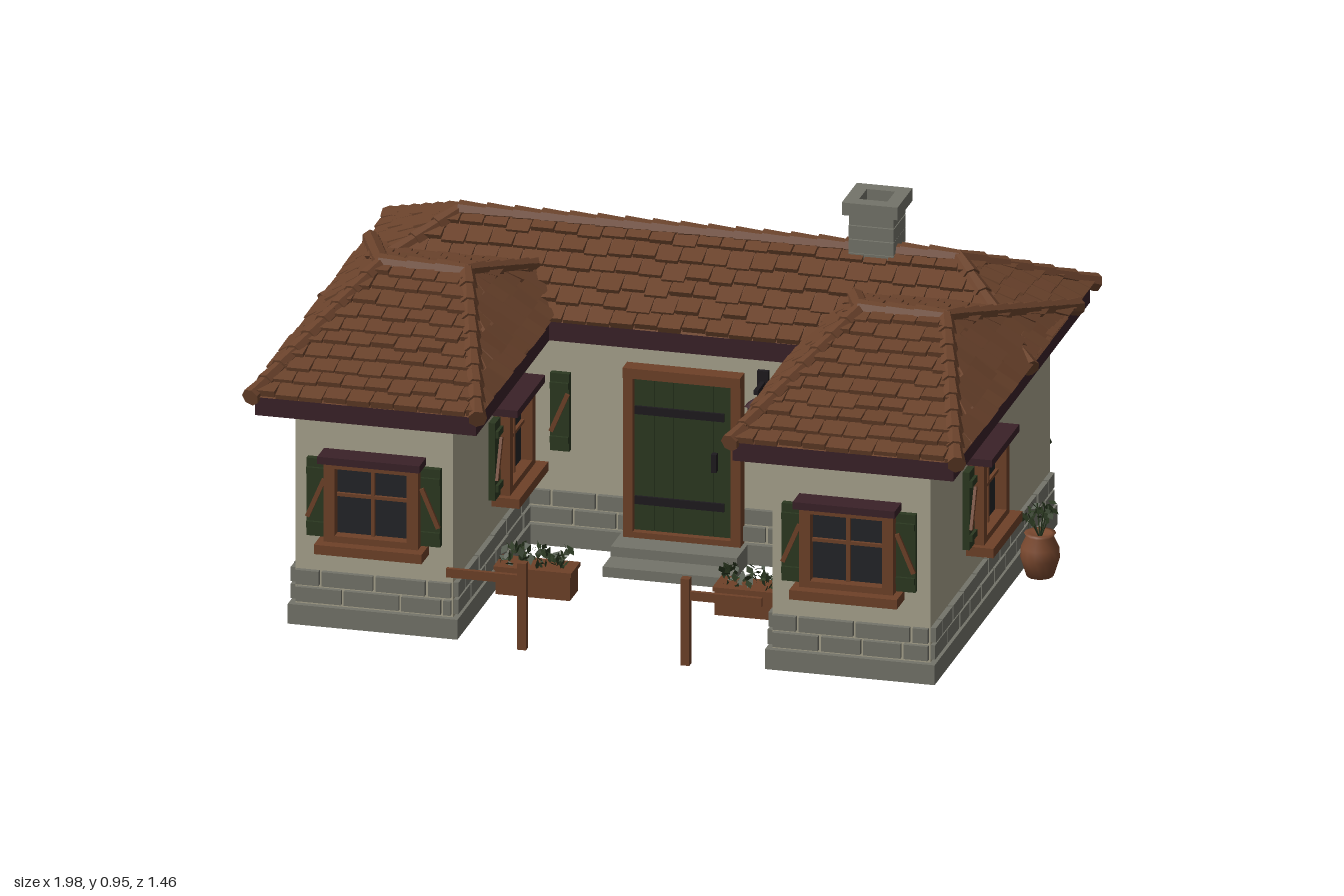
import * as THREE from 'three';
import { mergeGeometries } from 'three/addons/utils/BufferGeometryUtils.js';

const mat = (name, color, extra = {}) => Object.assign(new THREE.MeshStandardMaterial({ color, ...extra }), { name });
const M = {
  wall: mat('plaster', 0xa8a38d), stone: mat('stone', 0x74746a, { flatShading: true }),
  tile: mat('roof tile', 0x6b432c, { flatShading: true, side: THREE.DoubleSide }),
  wood: mat('warm wood', 0x6e4128), dark: mat('dark wood', 0x3a2128),
  green: mat('green paint', 0x2b3820), glass: mat('window glass', 0x232427), iron: mat('iron', 0x1d1a1e),
  leaf: mat('foliage', 0x2c3a22, { side: THREE.DoubleSide, flatShading: true }), clay: mat('clay', 0x7c4a30),
};
const V = (x, y, z) => new THREE.Vector3(x, y, z);
let seed = 7;
const rnd = () => (seed = (seed * 16807) % 2147483647) / 2147483647;

function add(parent, name, geo, m, x = 0, y = 0, z = 0, ry = 0, rz = 0) {
  const mesh = new THREE.Mesh(geo, m);
  mesh.name = name;
  mesh.position.set(x, y, z);
  mesh.rotation.set(0, ry, rz);
  parent.add(mesh);
  return mesh;
}
const box = (p, name, m, w, h, d, x, y, z, ry, rz) => add(p, name, new THREE.BoxGeometry(w, h, d), m, x, y, z, ry, rz);
function group(parent, name, x = 0, y = 0, z = 0, ry = 0) {
  const g = new THREE.Group();
  g.name = name;
  g.position.set(x, y, z);
  g.rotation.y = ry;
  parent.add(g);
  return g;
}

// U-shaped footprint [x, z], grown outwards by o
const outline = o => [[-.855 - o, .63 + o], [-.43 + o, .63 + o], [-.43 + o, -.1 + o], [.43 - o, -.1 + o],
  [.43 - o, .63 + o], [.855 + o, .63 + o], [.855 + o, -.565 - o], [-.855 - o, -.565 - o]];
function uSlab(o, y0, y1) {
  const shape = new THREE.Shape(outline(o).map(([x, z]) => new THREE.Vector2(x, -z)));
  return new THREE.ExtrudeGeometry(shape, { depth: y1 - y0, bevelEnabled: false }).rotateX(-Math.PI / 2).translate(0, y0, 0);
}

// Two staggered courses of stones along every wall
function stoneCourses(parent) {
  const pts = outline(0), geos = [];
  pts.forEach(([x0, z0], i) => {
    const [x1, z1] = pts[(i + 1) % 8], len = Math.hypot(x1 - x0, z1 - z0);
    for (let row = 0; row < 2; row++) {
      let s = 0, first = row ? .07 : .13;
      while (s < len - .02) {
        let w = Math.min(first || .1 + rnd() * .06, len - s);
        first = 0;
        const t = (s + w / 2) / len;
        geos.push(new THREE.BoxGeometry(w - .008, .04, .024 + rnd() * .006).rotateY(-Math.atan2(z1 - z0, x1 - x0))
          .translate(x0 + (x1 - x0) * t, .083 + row * .048, z0 + (z1 - z0) * t));
        s += w;
      }
    }
  });
  add(parent, 'stoneCourses', mergeGeometries(geos), M.stone);
}

// Overlapping tiles on a slope: eave a-b, ridge d-c (counter-clockwise from outside)
function tileSlope(parent, a, b, c, d) {
  const U = b.clone().sub(a), len = U.length();
  U.normalize();
  const ad = d.clone().sub(a), uD = ad.dot(U), uC = c.clone().sub(a).dot(U);
  const up = ad.addScaledVector(U, -uD), n = U.clone().cross(up).normalize();
  const P = (u, t, h) => a.clone().addScaledVector(U, u).addScaledVector(up, t).addScaledVector(n, h);
  const clampU = (u, t) => Math.min(Math.max(u, uD * t), len + (uC - len) * t);
  const rows = Math.max(3, Math.round(up.length() / .06)), pos = [];
  const tri = (...v) => v.forEach(p => pos.push(p.x, p.y, p.z));
  const quad = (p, q, r, s) => { tri(p, q, r); tri(p, r, s); };
  quad(a, b, c, d);
  for (let i = 0; i < rows; i++) {
    for (let u = (i % 2) * -.032; u < len; u += .064) {
      const t0 = Math.max(0, (i + (rnd() - .5) * .3) / rows), t1 = Math.min(1, (i + 1.1) / rows), h = .012 + rnd() * .007;
      const l0 = clampU(u + .002, t0), r0 = clampU(u + .062, t0), l1 = clampU(u + .002, t1), r1 = clampU(u + .062, t1);
      if (r0 - l0 < .004) continue;
      const A = P(l0, t0, h), B = P(r0, t0, h), C = P(r1, t1, .004), D = P(l1, t1, .004);
      const A0 = P(l0, t0, 0), B0 = P(r0, t0, 0);
      quad(A, B, C, D);
      quad(A0, B0, B, A);
      tri(A0, A, D);
      tri(B0, C, B);
    }
  }
  const geo = new THREE.BufferGeometry();
  geo.setAttribute('position', new THREE.Float32BufferAttribute(pos, 3));
  geo.computeVertexNormals();
  add(parent, 'roofSlope', geo, M.tile);
}

// Row of tapered cap tiles along a hip or ridge
function capTiles(parent, p, q) {
  const dir = q.clone().sub(p), n = Math.max(2, Math.round(dir.length() / .075)), step = dir.length() / n, geos = [];
  const turn = new THREE.Quaternion().setFromUnitVectors(V(0, 1, 0), dir.clone().normalize());
  for (let i = 0; i < n; i++) {
    const at = p.clone().lerp(q, (i + .5) / n);
    geos.push(new THREE.CylinderGeometry(.018, .025, step * 1.12, 7).applyQuaternion(turn).translate(at.x, at.y, at.z));
  }
  add(parent, 'capTiles', mergeGeometries(geos), M.tile);
}

// Hipped roof over a rectangle, ridge along x
function hipRoof(parent, name, x0, x1, z0, z1, rx0, rx1, y, top) {
  const g = group(parent, name), rz = (z0 + z1) / 2;
  const fl = V(x0, y, z1), fr = V(x1, y, z1), bl = V(x0, y, z0), br = V(x1, y, z0), rl = V(rx0, top, rz), rr = V(rx1, top, rz);
  tileSlope(g, fl, fr, rr, rl);
  tileSlope(g, br, bl, rl, rr);
  tileSlope(g, bl, fl, rl, rl);
  tileSlope(g, fr, br, rr, rr);
  [[fl, rl], [bl, rl], [fr, rr], [br, rr], [rl, rr]].forEach(e => capTiles(g, ...e));
}

function shutter(parent, x, y, z, side) {
  const g = group(parent, 'shutter', x, y, z);
  box(g, 'shutterBoard', M.green, .052, .215, .018, 0, 0, .01);
  for (const dy of [-.075, .075]) box(g, 'shutterRail', M.green, .05, .018, .01, 0, dy, .022);
  box(g, 'shutterBrace', M.wood, .012, .115, .008, 0, 0, .023, 0, side * .4);
}

// Window facing +z, wall plane at z = 0
function windowUnit(parent, x, z, ry) {
  const g = group(parent, 'window', x, .36, z, ry);
  box(g, 'glass', M.glass, .2, .21, .012, 0, 0, .008);
  for (const s of [-1, 1]) {
    box(g, 'frameSide', M.wood, .03, .23, .045, s * .112, 0, .022);
    shutter(g, s * .154, 0, 0, s);
  }
  box(g, 'frameTop', M.wood, .25, .024, .045, 0, .105, .022);
  box(g, 'frameBottom', M.wood, .25, .024, .045, 0, -.105, .022);
  box(g, 'mullion', M.wood, .01, .2, .016, 0, 0, .016);
  box(g, 'crossbar', M.wood, .2, .009, .014, 0, .015, .016);
  box(g, 'lintel', M.dark, .275, .02, .068, 0, .122, .034);
  box(g, 'sill', M.wood, .29, .026, .075, 0, -.124, .037);
}

function doorUnit(parent, z, ry) {
  const g = group(parent, 'door', 0, 0, z, ry);
  for (let i = 0; i < 5; i++) box(g, 'doorPlank', M.green, .052, .44, .02, (i - 2) * .053, .28, .012);
  for (const s of [-1, 1]) box(g, 'doorPost', M.wood, .026, .47, .045, s * .145, .285, .02);
  box(g, 'doorHead', M.wood, .316, .028, .05, 0, .512, .022);
  box(g, 'threshold', M.wood, .3, .018, .045, 0, .062, .02);
  for (const y of [.155, .405]) box(g, 'hingeStrap', M.iron, .24, .022, .008, -.01, y, .025);
  box(g, 'handle', M.iron, .014, .05, .02, .085, .28, .03);
  // Hanging lantern beside the door
  const l = group(g, 'lantern', .21, 0, 0);
  box(l, 'lanternPlate', M.iron, .03, .08, .012, 0, .5, .006);
  box(l, 'lanternArm', M.iron, .012, .012, .08, 0, .505, .04);
  add(l, 'lanternCap', new THREE.ConeGeometry(.034, .025, 6), M.dark, 0, .478, .07);
  add(l, 'lanternBody', new THREE.CylinderGeometry(.026, .018, .065, 6), M.dark, 0, .433, .07);
}

// Scattered diamond leaves inside a box
function leaves(parent, n, w, h, d, x, y, z, size) {
  const geos = [];
  for (let i = 0; i < n; i++) {
    geos.push(new THREE.CircleGeometry(size * (.7 + rnd() * .6), 4).scale(.6, 1, 1)
      .rotateX(rnd() * 2 - 1).rotateY(rnd() * 6.3).rotateZ(rnd() * 2 - 1)
      .translate((rnd() - .5) * w, rnd() * h, (rnd() - .5) * d));
  }
  add(parent, 'leaves', mergeGeometries(geos), M.leaf, x, y, z);
}
const lathe = pts => new THREE.LatheGeometry(pts.map(p => new THREE.Vector2(...p)), 14);

function pottedPlant(parent, x, z) {
  const g = group(parent, 'pottedPlant', x, .015, z);
  add(g, 'pot', lathe([[0, 0], [.036, 0], [.052, .05], [.05, .08], [.036, .11], [.042, .118], [.03, .118], [0, .108]]), M.clay);
  for (let i = 0; i < 6; i++) {
    const a = i * 1.05, r = .025 + rnd() * .02, tip = V(Math.cos(a) * r, .175 + rnd() * .02, Math.sin(a) * r);
    add(g, 'stem', new THREE.TubeGeometry(new THREE.LineCurve3(V(0, .1, 0), tip), 1, .002, 4), M.leaf);
    leaves(g, 6, .03, .05, .03, tip.x, tip.y - .035, tip.z, .012);
  }
}

export function createModel() {
  const root = new THREE.Group();
  root.name = 'cottage';

  // Walls and footing
  add(root, 'footing', uSlab(.016, 0, .055), M.stone);
  add(root, 'walls', uSlab(0, .055, .61), M.wall);
  stoneCourses(root);
  box(root, 'upperStep', M.stone, .34, .05, .12, 0, .03, -.04);
  box(root, 'lowerStep', M.stone, .34, .028, .2, 0, .014, 0);

  // Roofs
  add(root, 'eaves', uSlab(.085, .598, .65), M.dark);
  hipRoof(root, 'mainRoof', -.95, .95, -.665, -.015, -.67, .67, .65, .812);
  for (const s of [-1, 1]) {
    const xs = [s * .95, s * .34].sort((p, q) => p - q), rs = [s * .76, s * .53].sort((p, q) => p - q);
    hipRoof(root, 'wingRoof', ...xs, -.48, .72, ...rs, .65, .822);
  }

  // Chimney
  const chimney = group(root, 'chimney', .445, 0, -.36);
  for (let i = 0; i < 6; i++)
    for (const s of [-1, 1]) {
      const w = .057 + rnd() * .006, along = i % 2 === 0;
      box(chimney, 'chimneyStone', M.stone, along ? w : .12, .036, along ? .12 : w, along ? s * .03 : 0, .715 + i * .038, along ? 0 : s * .03);
    }
  const sq = (S, r) => { const p = new S(); p.moveTo(-r, -r).lineTo(r, -r).lineTo(r, r).lineTo(-r, r).closePath(); return p; };
  const cap = sq(THREE.Shape, .075);
  cap.holes.push(sq(THREE.Path, .038));
  add(chimney, 'chimneyCap', new THREE.ExtrudeGeometry(cap, { depth: .035, bevelEnabled: false }).rotateX(-Math.PI / 2), M.stone, 0, .918, 0);

  // Windows and doors
  for (const s of [-1, 1]) {
    windowUnit(root, s * .64, .63, 0);
    windowUnit(root, s * .855, .13, s * Math.PI / 2);
    windowUnit(root, s * .43, .1, -s * Math.PI / 2);
    windowUnit(root, s * .49, -.565, Math.PI);
    shutter(root, s * .335, .375, -.1, s);
  }
  doorUnit(root, -.1, 0);
  doorUnit(root, -.565, Math.PI);

  // Yard: gate posts, planters, pots
  for (const s of [-1, 1]) {
    box(root, 'gatePost', M.wood, .024, .24, .024, s * .22, .14, .715);
    box(root, 'gateRail', M.wood, .2, .024, .012, s * .325, .212, .715);
    const planter = group(root, 'planter', s * .295, 0, .295);
    box(planter, 'planterBox', M.wood, .2, .075, .08, 0, .053, 0);
    box(planter, 'planterRim', M.wood, .21, .012, .09, 0, .088, 0);
    leaves(planter, 90, .19, .05, .07, 0, .09, 0, .014);
    pottedPlant(root, s * .935, -.17);
  }

  // Barrel and climbing vine at the back
  const barrel = group(root, 'barrel', .59, .01, -.66);
  add(barrel, 'barrelBody', lathe([[0, 0], [.052, 0], [.062, .05], [.065, .08], [.062, .11], [.052, .16], [.045, .16], [.045, .15], [0, .15]]), M.dark);
  for (const y of [.04, .12]) add(barrel, 'barrelHoop', new THREE.CylinderGeometry(.0635, .0635, .012, 14, 1), M.iron, 0, y, 0);
  const vine = group(root, 'vine', .79, 0, -.58);
  const path = new THREE.CatmullRomCurve3([V(0, .05, 0), V(.02, .2, 0), V(-.02, .35, 0), V(.01, .52, 0)]);
  add(vine, 'vineStem', new THREE.TubeGeometry(path, 16, .004, 5), M.leaf);
  for (let i = 0; i < 12; i++) {
    const p = path.getPoint((i + .5) / 12);
    leaves(vine, 5, .09, .035, .02, p.x, p.y, p.z, .018);
  }
  return root;
}
